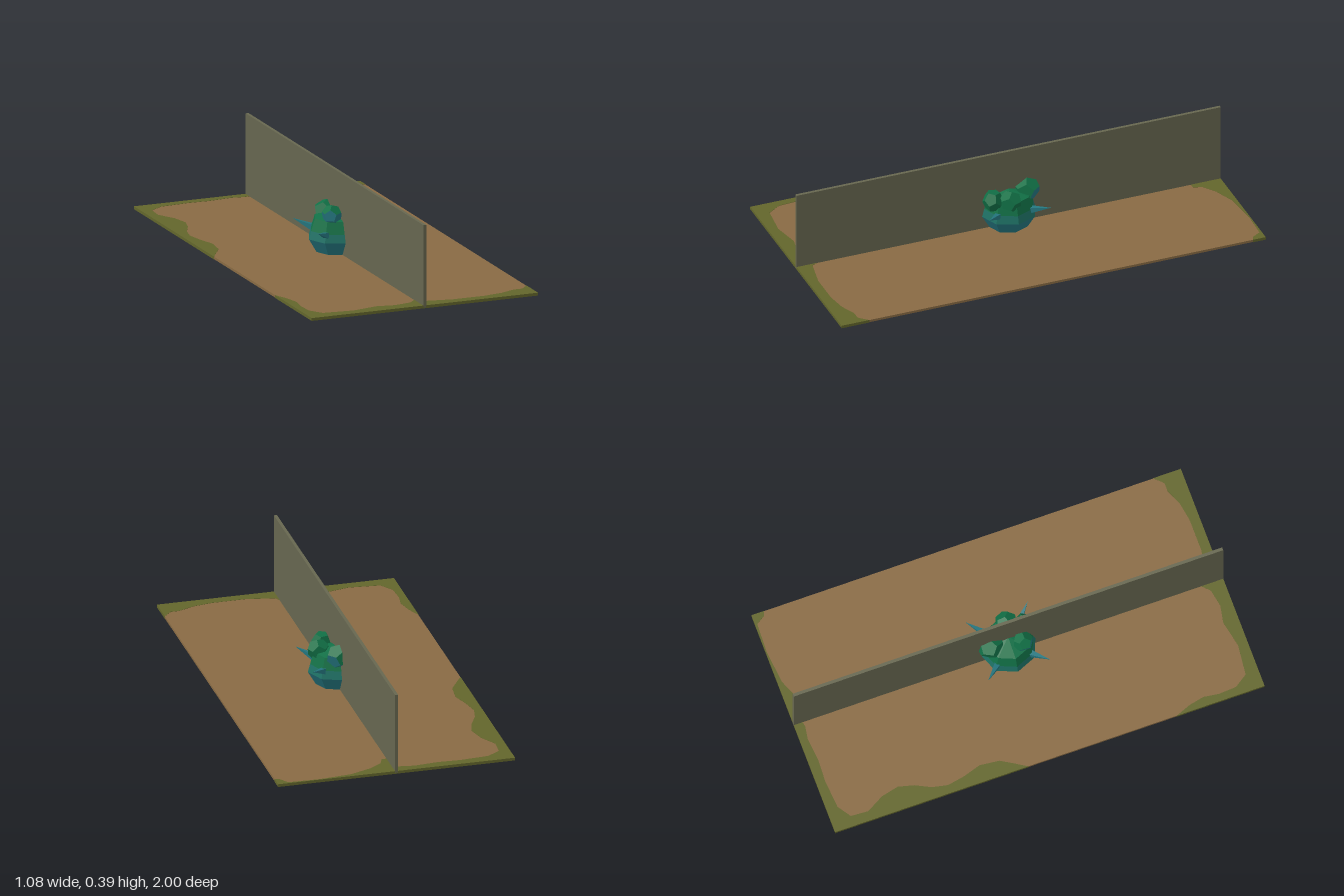
import * as THREE from 'three';

const paint = (name, color) => {
  const m = new THREE.MeshStandardMaterial({ color });
  m.name = name;
  return m;
};

// Unshared corners give every facet its own flat normal
const faceted = (geo) => {
  const g = geo.index ? geo.toNonIndexed() : geo;
  g.computeVertexNormals();
  return g;
};

export function createModel() {
  const soil = paint('soilBrown', 0x886a43);
  const moss = paint('mossGreen', 0x62652b);
  const stone = paint('stoneOlive', 0x66664f);
  const leaf = paint('leafGreen', 0x117046);
  const midTeal = paint('leafTealGreen', 0x1d7064);
  const teal = paint('leafTeal', 0x24767f);

  const model = new THREE.Group();
  const add = (parent, name, geo, mat, x = 0, y = 0, z = 0) => {
    const mesh = new THREE.Mesh(geo, mat);
    mesh.name = name;
    mesh.position.set(x, y, z);
    parent.add(mesh);
    return mesh;
  };

  // Ground slab and upright dividing wall
  add(model, 'groundSlab', new THREE.BoxGeometry(1.074, 0.011, 1.998), soil, 0, 0.0145, 0);
  add(model, 'wall', new THREE.BoxGeometry(0.014, 0.375, 2), stone, 0, 0.1985, 0);

  // Ragged mossy borders, running through the slab so they show above, below and at the edges
  const borders = {
    backMoss: [[-0.538, -1], [-0.538, -0.1], [-0.5, -0.16], [-0.47, -0.21], [-0.46, -0.3], [-0.485, -0.38],
      [-0.5, -0.46], [-0.485, -0.53], [-0.45, -0.6], [-0.432, -0.67], [-0.45, -0.75], [-0.495, -0.83],
      [-0.49, -0.91], [-0.43, -0.95], [-0.3, -0.96], [-0.2, -0.955], [-0.09, -0.965], [-0.03, -0.955],
      [0, -0.96], [0.005, -0.86], [0.03, -0.86], [0.045, -0.9], [0.1, -0.94], [0.2, -0.98],
      [0.35, -0.995], [0.49, -0.99], [0.515, -0.95], [0.538, -0.94], [0.538, -1]],
    frontMoss: [[-0.538, 1], [-0.538, 0.59], [-0.51, 0.66], [-0.495, 0.73], [-0.505, 0.8], [-0.5, 0.88],
      [-0.46, 0.94], [-0.32, 0.955], [-0.2, 0.93], [-0.12, 0.945], [-0.04, 0.93], [0, 0.89],
      [0.02, 0.93], [0.15, 0.955], [0.3, 0.955], [0.39, 0.94], [0.46, 0.91], [0.5, 0.91],
      [0.538, 0.87], [0.538, 1]],
  };
  for (const [name, pts] of Object.entries(borders)) {
    const shape = new THREE.Shape(pts.map(([x, z]) => new THREE.Vector2(x, -z)));
    const geo = new THREE.ExtrudeGeometry(shape, { depth: 0.013, bevelEnabled: false });
    geo.rotateX(-Math.PI / 2);
    add(model, name, geo, moss, 0, 0.008, 0);
  }

  // Bush body: stacked eight-sided rings, teal at the foot and green at the crown
  const bush = new THREE.Group();
  bush.name = 'bush';
  model.add(bush);
  const rings = [
    ['bodyFoot', 0.09, 0.128, 0.015, 0.08, teal],
    ['bodyMiddle', 0.128, 0.118, 0.08, 0.117, midTeal],
    ['bodyUpper', 0.118, 0.1, 0.117, 0.172, leaf],
    ['bodyCrown', 0.1, 0.001, 0.172, 0.198, leaf],
  ];
  for (const [name, rBottom, rTop, y0, y1, mat] of rings) {
    const geo = new THREE.CylinderGeometry(rTop, rBottom, y1 - y0, 8, 1, true);
    add(bush, name, faceted(geo), mat, 0, (y0 + y1) / 2, 0);
  }

  // Root stub poking out below the slab
  add(bush, 'rootStub', faceted(new THREE.CylinderGeometry(0.022, 0.02, 0.02, 8)), teal, 0, 0.01, 0);

  // Faceted leaf clumps; some have teal undersides
  const clump = (name, [x, y, z], [sx, sy, sz], turn, tealBelow) => {
    const geo = faceted(new THREE.DodecahedronGeometry(1).rotateZ(turn).rotateY(turn * 2).scale(sx, sy, sz));
    const n = geo.attributes.normal;
    for (let i = 0; i < n.count; i += 3) geo.addGroup(i, 3, n.getY(i) < tealBelow ? 1 : 0);
    add(bush, name, geo, [leaf, teal], x, y, z);
  };
  clump('backClump', [0, 0.18, -0.085], [0.068, 0.055, 0.062], 0.3, -0.2);
  clump('leftClump', [-0.043, 0.197, 0.055], [0.046, 0.046, 0.046], 0.5, 0.1);
  clump('frontClump', [0.043, 0.175, 0.088], [0.046, 0.052, 0.047], 0.9, -2);
  clump('sideClump', [0.075, 0.173, 0.018], [0.05, 0.05, 0.053], 0.2, -2);

  // Four thorns reaching out to the corners
  const up = new THREE.Vector3(0, 1, 0);
  for (const sx of [-1, 1]) {
    for (const sz of [-1, 1]) {
      const base = new THREE.Vector3(sx * 0.065, 0.107, sz * 0.065);
      const tip = new THREE.Vector3(sx * 0.145, 0.143, sz * 0.145);
      const dir = tip.clone().sub(base);
      const mid = base.clone().add(tip).multiplyScalar(0.5);
      const geo = faceted(new THREE.ConeGeometry(0.022, dir.length(), 4));
      const thorn = add(bush, 'thorn', geo, teal, mid.x, mid.y, mid.z);
      thorn.quaternion.setFromUnitVectors(up, dir.normalize());
    }
  }

  return model;
}
